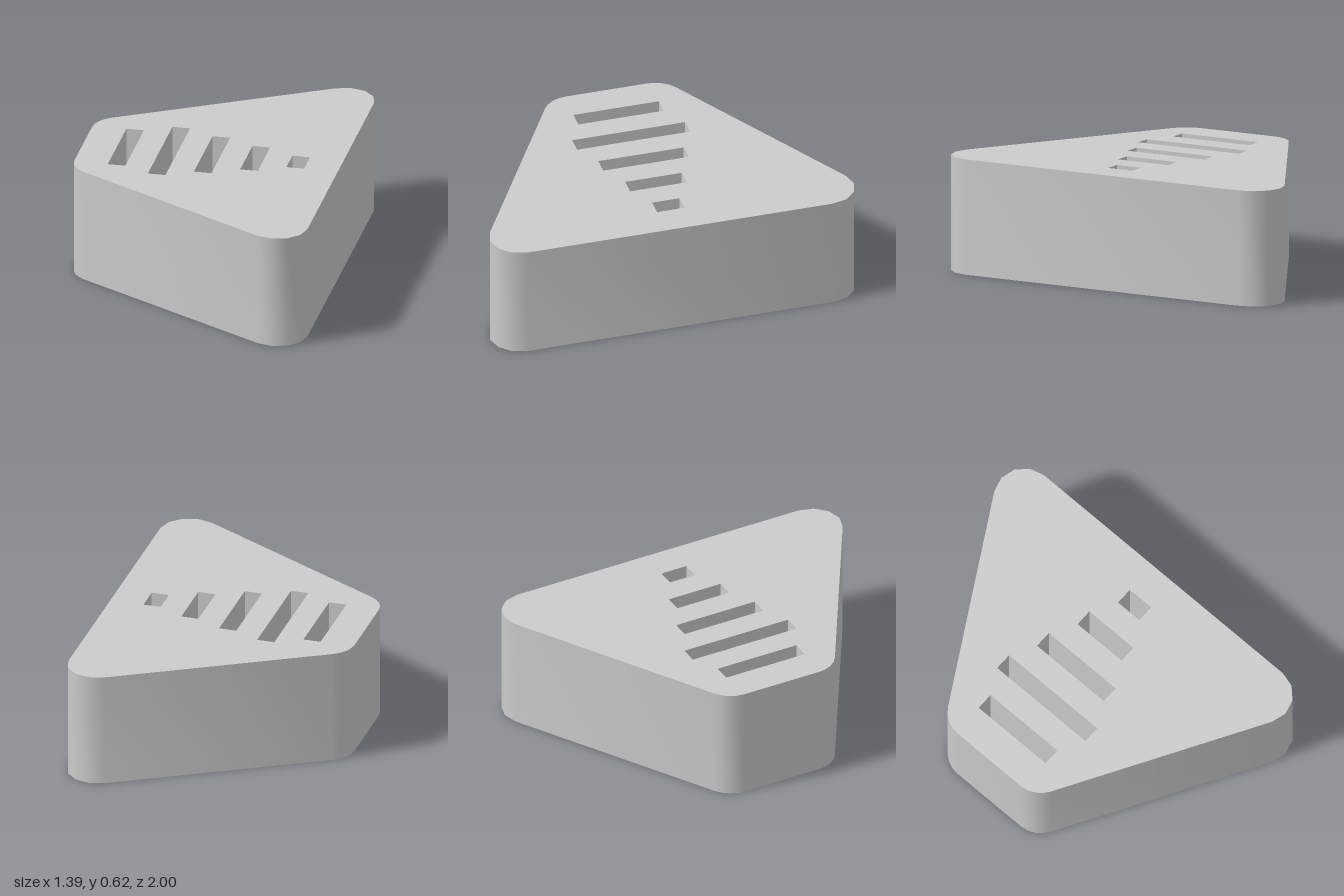
import * as THREE from 'three';
import { toCreasedNormals } from 'three/addons/utils/BufferGeometryUtils.js';

const HEIGHT = 0.62;
const RADIUS = 0.16;
const SLOT_WIDTH = 0.095;
const SLOT_PITCH = 0.2325;
const SLOT_LENGTHS = [0.47, 0.62, 0.47, 0.31, 0.15];

// Points of a rounded corner, angles in degrees
function corner(cx, cy, from, to, steps = 4) {
  return Array.from({ length: steps + 1 }, (_, i) => {
    const a = THREE.MathUtils.degToRad(from + ((to - from) * i) / steps);
    return new THREE.Vector2(cx + RADIUS * Math.cos(a), cy + RADIUS * Math.sin(a));
  });
}

export function createModel() {
  const group = new THREE.Group();
  group.name = 'slottedWedgeBlock';

  // Trapezoid outline: wide side at +x, narrow side at -x
  const outline = new THREE.Shape([
    ...corner(0.535, 0.84, 0, 120),
    ...corner(-0.535, 0.222, 120, 180),
    ...corner(-0.535, -0.222, 180, 240),
    ...corner(0.535, -0.84, 240, 360),
  ]);

  // Row of slots cut right through
  SLOT_LENGTHS.forEach((length, i) => {
    const x = (i - 2) * SLOT_PITCH;
    const w = SLOT_WIDTH / 2;
    const h = length / 2;
    outline.holes.push(new THREE.Path([
      new THREE.Vector2(x - w, -h),
      new THREE.Vector2(x - w, h),
      new THREE.Vector2(x + w, h),
      new THREE.Vector2(x + w, -h),
    ]));
  });

  // Block standing on the ground, smooth corners and sharp rims
  const geometry = new THREE.ExtrudeGeometry(outline, { depth: HEIGHT, bevelEnabled: false });
  geometry.rotateX(-Math.PI / 2);
  const block = new THREE.Mesh(
    toCreasedNormals(geometry, 0.65),
    new THREE.MeshStandardMaterial({ color: 0xcccccc })
  );
  block.name = 'slottedBlock';
  group.add(block);
  return group;
}
